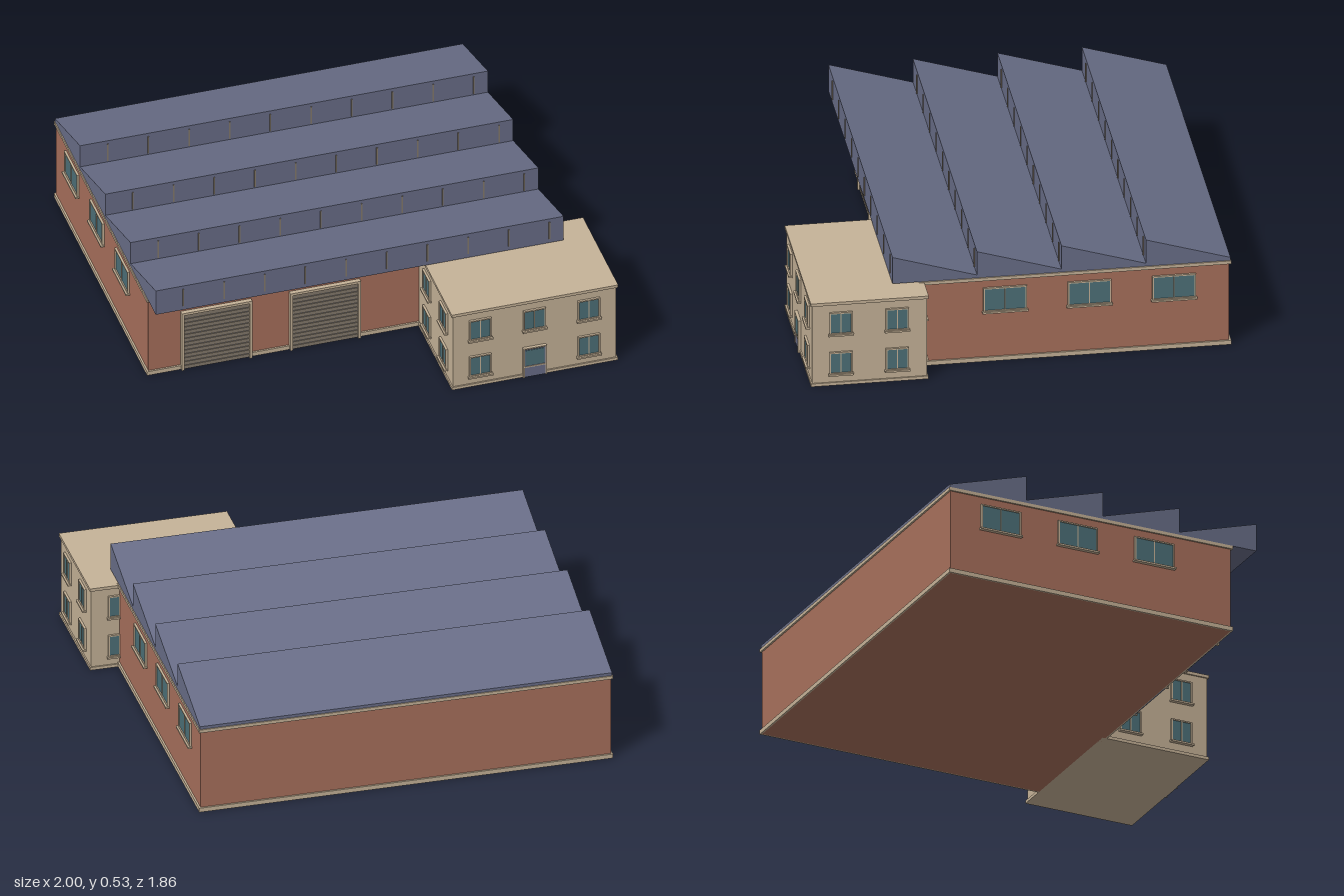
import * as THREE from 'three';

const paint = (name, color) => {
  const m = new THREE.MeshStandardMaterial({ color });
  m.name = name;
  return m;
};

export function createModel() {
  const brick = paint('brick', 0xa8705c);
  const stone = paint('stone', 0xc6b398);
  const metal = paint('roof metal', 0x696e88);
  const glass = paint('glass', 0x4d7078);
  const slat = paint('shutter slat', 0x857a6c);

  const root = new THREE.Group();
  root.name = 'factory';

  const group = (name, parent = root) => {
    const g = new THREE.Group();
    g.name = name;
    parent.add(g);
    return g;
  };

  // Box given by its minimum and maximum corners
  const box = (parent, name, mat, x0, x1, y0, y1, z0, z1) => {
    const m = new THREE.Mesh(new THREE.BoxGeometry(x1 - x0, y1 - y0, z1 - z0), mat);
    m.position.set((x0 + x1) / 2, (y0 + y1) / 2, (z0 + z1) / 2);
    m.name = name;
    parent.add(m);
    return m;
  };

  // Thin band running round a rectangular block
  const band = (parent, name, x0, x1, y0, y1, z0, z1, out) => {
    const g = group(name, parent);
    box(g, 'frontBand', stone, x0 - out, x1 + out, y0, y1, z1, z1 + out);
    box(g, 'backBand', stone, x0 - out, x1 + out, y0, y1, z0 - out, z0);
    box(g, 'leftBand', stone, x1, x1 + out, y0, y1, z0, z1);
    box(g, 'rightBand', stone, x0 - out, x0, y0, y1, z0, z1);
  };

  // Frame with open middle, standing on a wall that faces local +z
  const frame = (g, w, h, t, d, closed = true) => {
    box(g, 'jamb', stone, -w / 2, -w / 2 + t, 0, h, 0, d);
    box(g, 'jamb', stone, w / 2 - t, w / 2, 0, h, 0, d);
    box(g, 'lintel', stone, -w / 2 + t, w / 2 - t, h - t, h, 0, d);
    if (closed) box(g, 'bottomRail', stone, -w / 2 + t, w / 2 - t, 0, t, 0, d);
  };

  // Two-pane window with a projecting sill
  const windowAt = (parent, x, y, z, turn, w, h) => {
    const g = group('window', parent);
    g.position.set(x, y, z);
    g.rotation.y = turn;
    frame(g, w, h, 0.006, 0.01);
    box(g, 'pane', glass, -w / 2 + 0.006, w / 2 - 0.006, 0.006, h - 0.006, 0, 0.005);
    box(g, 'mullion', stone, -0.002, 0.002, 0.006, h - 0.006, 0, 0.008);
    box(g, 'sill', stone, -w / 2 - 0.005, w / 2 + 0.005, -0.006, 0.002, 0, 0.018);
  };

  const LEFT = Math.PI / 2, RIGHT = -Math.PI / 2, BACK = Math.PI;

  // Main hall
  const hall = group('hall');
  const hx0 = -0.98, hx1 = 0.853, hz0 = -0.923, hz1 = 0.423;
  box(hall, 'hallWalls', brick, hx0, hx1, 0, 0.4, hz0, hz1);
  band(hall, 'hallPlinth', hx0, hx1, 0, 0.02, hz0, hz1, 0.008);
  band(hall, 'hallCornice', hx0, hx1, 0.39, 0.405, hz0, hz1, 0.008);
  for (const z of [0.055, -0.313, -0.682]) {
    windowAt(hall, hx1, 0.24, z, LEFT, 0.19, 0.115);
    windowAt(hall, hx0, 0.24, z, RIGHT, 0.19, 0.115);
  }

  // Rolling shutter doors
  for (const x of [-0.675, -0.185]) {
    const door = group('shutterDoor', hall);
    door.position.set(x, 0, hz1);
    frame(door, 0.318, 0.305, 0.012, 0.02, false);
    box(door, 'shutterPanel', metal, -0.147, 0.147, 0, 0.293, 0, 0.009);
    for (let i = 0; i < 14; i++) {
      const y = 0.004 + i * 0.0206;
      box(door, 'shutterSlat', slat, -0.147, 0.147, y, y + 0.0165, 0.009, 0.013);
    }
  }

  // Sawtooth roof: each tooth is a side profile extruded along x
  const roof = group('sawtoothRoof');
  const rx0 = -0.984, rx1 = 0.857, pitch = 0.3685;
  for (let i = 0; i < 4; i++) {
    const front = 0.546 - i * pitch;
    const shape = new THREE.Shape();
    shape.moveTo(0, 0.406);
    shape.lineTo(pitch, 0.406);
    shape.lineTo(pitch, 0.42);
    shape.lineTo(0, 0.533);
    shape.closePath();
    const geo = new THREE.ExtrudeGeometry(shape, { depth: rx1 - rx0, bevelEnabled: false });
    const tooth = new THREE.Mesh(geo, metal);
    tooth.name = 'roofTooth';
    tooth.rotation.y = Math.PI / 2;
    tooth.position.set(rx0, 0, front);
    roof.add(tooth);
    // Upright ribs on the vertical face
    for (let k = 0; k < 10; k++) {
      const x = -0.86 + k * 0.1836;
      box(roof, 'roofRib', slat, x - 0.003, x + 0.003, 0.427, 0.517, front, front + 0.004);
    }
  }

  // Office block
  const office = group('office');
  const ox0 = 0.243, ox1 = 0.98, oz0 = 0.415, oz1 = 0.915;
  box(office, 'officeWalls', stone, ox0, ox1, 0, 0.39, oz0, oz1);
  box(office, 'officeRoofCap', stone, ox0 - 0.007, ox1 + 0.007, 0.388, 0.402, oz0 - 0.007, oz1 + 0.007);
  band(office, 'officePlinth', ox0, ox1, 0, 0.014, oz0, oz1, 0.006);
  for (const y of [0.055, 0.247]) {
    for (const x of [0.365, 0.61, 0.855]) {
      if (x === 0.61 && y < 0.1) continue;
      windowAt(office, x, y, oz1, 0, 0.1, 0.105);
    }
    windowAt(office, 0.855, y, oz0, BACK, 0.1, 0.105);
    for (const z of [0.545, 0.79]) {
      windowAt(office, ox1, y, z, LEFT, 0.1, 0.105);
      windowAt(office, ox0, y, z, RIGHT, 0.1, 0.105);
    }
  }

  // Entrance door with glazed upper part
  const entrance = group('entranceDoor', office);
  entrance.position.set(0.61, 0, oz1);
  frame(entrance, 0.106, 0.155, 0.006, 0.014, false);
  box(entrance, 'doorLeaf', metal, -0.047, 0.047, 0, 0.149, 0, 0.009);
  box(entrance, 'doorGlass', glass, -0.042, 0.042, 0.062, 0.142, 0.009, 0.011);
  box(entrance, 'doorRail', stone, -0.047, 0.047, 0.052, 0.058, 0.009, 0.012);

  return root;
}
